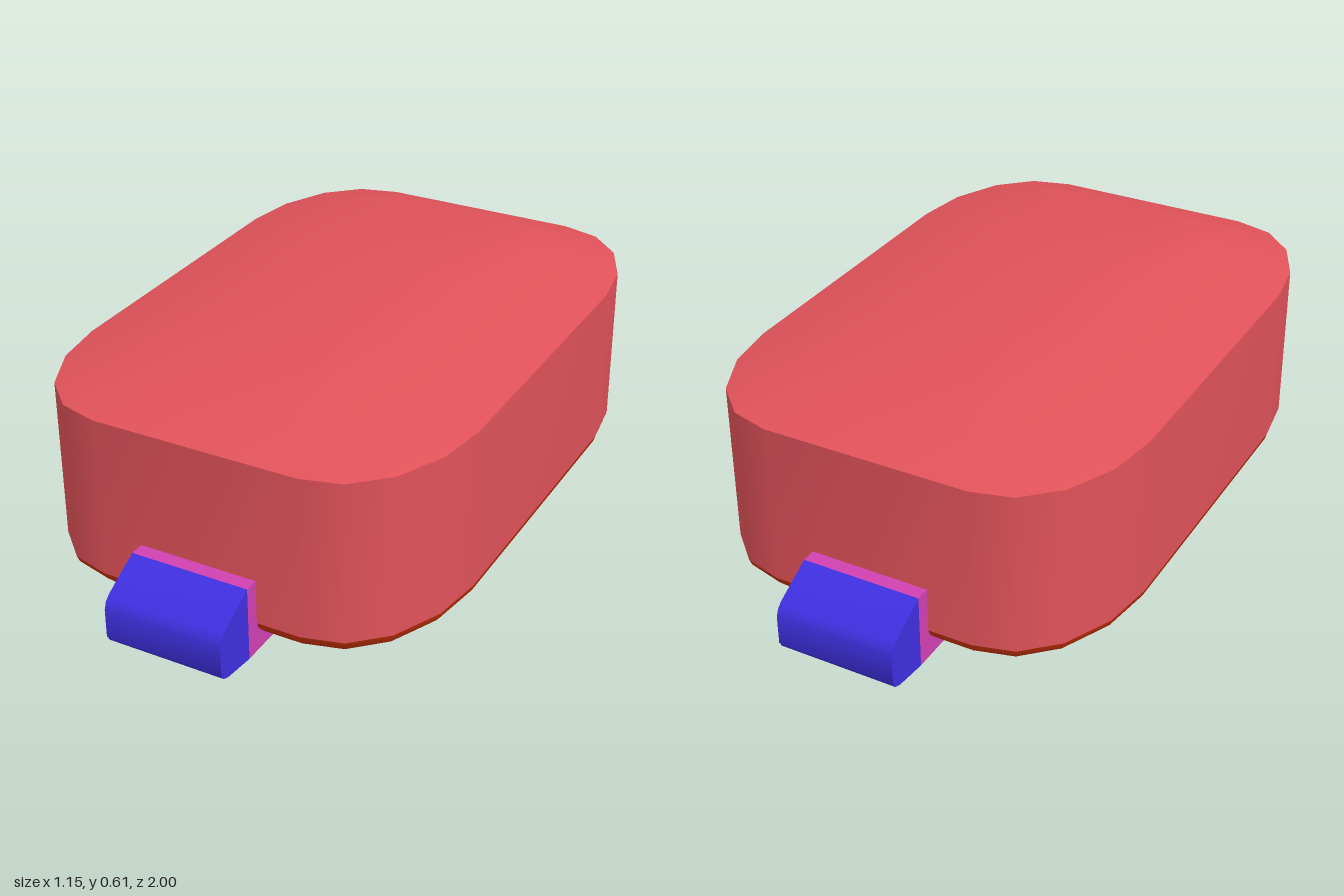
import * as THREE from 'three';
import { toCreasedNormals } from 'three/addons/utils/BufferGeometryUtils.js';

// One corner of the rounded outline, from the side (+x) round to the front (+z)
const CORNER = [[0.575, 0.43], [0.553, 0.58], [0.49, 0.715], [0.4, 0.8], [0.29, 0.83]];
const HALF_X = 0.575, HALF_Z = 0.83;

function outline() {
  const back = [...CORNER].reverse();
  return [
    ...CORNER,
    ...back.map(([x, z]) => [-x, z]),
    ...CORNER.map(([x, z]) => [-x, -z]),
    ...back.map(([x, z]) => [x, -z]),
  ];
}

// Skin through stacked outlines; each ring is [half width, y, half depth]
function loft(rings, { capTop = false, capBottom = false } = {}) {
  const loop = outline(), n = loop.length, pos = [], idx = [];
  for (const [w, y, d] of rings) {
    for (const [x, z] of loop) pos.push(x * w / HALF_X, y, z * d / HALF_Z);
  }
  for (let r = 0; r < rings.length - 1; r++) {
    for (let i = 0; i < n; i++) {
      const a = r * n + i, b = r * n + (i + 1) % n;
      idx.push(a, a + n, b, b, a + n, b + n);
    }
  }
  const cap = (r, up) => {
    const c = pos.length / 3;
    pos.push(0, rings[r][1], 0);
    for (let i = 0; i < n; i++) {
      const a = r * n + i, b = r * n + (i + 1) % n;
      idx.push(c, up ? b : a, up ? a : b);
    }
  };
  if (capTop) cap(rings.length - 1, true);
  if (capBottom) cap(0, false);
  const geo = new THREE.BufferGeometry();
  geo.setAttribute('position', new THREE.Float32BufferAttribute(pos, 3));
  geo.setIndex(idx);
  return toCreasedNormals(geo, 0.65);
}

// Side profile of [z, y] points, extruded across the width
function block(points, width) {
  const shape = new THREE.Shape(points.map(([z, y]) => new THREE.Vector2(z, y)));
  const geo = new THREE.ExtrudeGeometry(shape, { depth: width, bevelEnabled: false });
  geo.translate(0, 0, -width / 2).rotateY(-Math.PI / 2);
  return toCreasedNormals(geo, 0.6);
}

function part(name, geometry, color) {
  const mesh = new THREE.Mesh(geometry, new THREE.MeshStandardMaterial({ color }));
  mesh.name = name;
  return mesh;
}

export function createModel() {
  const model = new THREE.Group();
  model.name = 'roundedBox';

  // Upright wall with a shallow sloped lid
  model.add(part('shell', loft([
    [0.575, 0.083, 0.83], [0.575, 0.54, 0.83], [0.35, 0.605, 0.65],
  ], { capTop: true }), 0xe0525a));

  // Curved lower edge
  model.add(part('lowerEdge', loft([
    [0.505, 0, 0.735], [0.55, 0.038, 0.797], [0.57, 0.065, 0.823], [0.575, 0.083, 0.83],
  ]), 0xc8320a));

  // Flat underside
  model.add(part('base', loft([[0.505, 0, 0.735]], { capBottom: true }), 0xcccccc));

  // Matching tabs at the front and the back
  for (const [name, turn] of [['frontTab', 0], ['backTab', Math.PI]]) {
    const tab = new THREE.Group();
    tab.name = name;
    tab.add(part('tabMount', block([
      [0.735, 0], [0.87, 0], [0.87, 0.21], [0.83, 0.21], [0.83, 0.083], [0.797, 0.038],
    ], 0.336), 0xd040b0));
    tab.add(part('tabTip', block([
      [0.87, 0], [0.97, 0.012], [0.99, 0.02], [1, 0.038],
      [1, 0.118], [0.993, 0.138], [0.978, 0.152], [0.87, 0.21],
    ], 0.336), 0x3f2fe0));
    tab.rotation.y = turn;
    model.add(tab);
  }
  return model;
}
